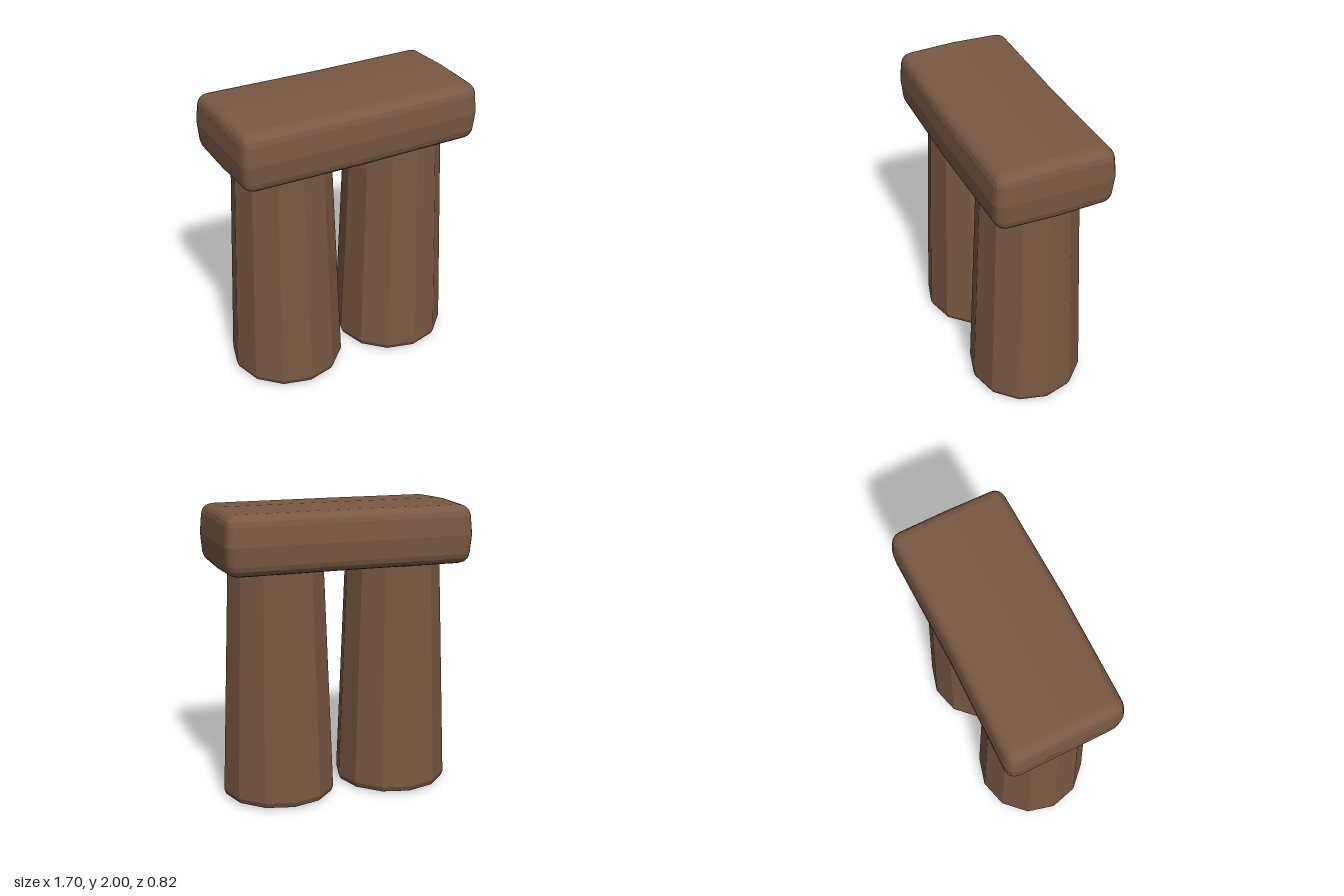
import * as THREE from 'three';

const stone = new THREE.MeshStandardMaterial({ color: 0x795843 });
stone.name = 'brownStone';

// Split every face apart so each facet is shaded flat
function faceted(geometry) {
  const flat = geometry.toNonIndexed();
  flat.computeVertexNormals();
  return flat;
}

// Tapered twelve-sided pillar with a worn foot, closed at both ends
function makePillar(name, x) {
  const profile = [[0, 0], [0.34, 0], [0.375, 0.015], [0.39, 0.05], [0.328, 1.6], [0, 1.6]]
    .map(([r, y]) => new THREE.Vector2(r, y));
  const mesh = new THREE.Mesh(faceted(new THREE.LatheGeometry(profile, 12)), stone);
  mesh.name = name;
  mesh.position.x = x;
  return mesh;
}

// Lintel: a box with two-step rounded edges, bulging faces and a slight bend
function makeLintel() {
  const half = new THREE.Vector3(0.835, 0.195, 0.388);
  const radius = 0.07;
  const geometry = new THREE.BoxGeometry(6, 6, 6, 6, 6, 6);
  const pos = geometry.attributes.position;
  const p = new THREE.Vector3();
  const core = new THREE.Vector3();
  const offset = new THREE.Vector3();
  for (let i = 0; i < pos.count; i++) {
    p.fromBufferAttribute(pos, i).round();
    // Grid lines: middle, bevel start, bevel middle, outer face
    for (const axis of ['x', 'y', 'z']) {
      const side = Math.sign(p[axis]);
      core[axis] = side * (half[axis] - radius);
      offset[axis] = side * Math.max(0, Math.abs(p[axis]) - 1) / 2;
    }
    p.copy(core).addScaledVector(offset.normalize(), radius);
    const u = Math.abs(p.x) / half.x;
    const v = Math.abs(p.y) / half.y;
    const w = Math.abs(p.z) / half.z;
    // Faces swell towards their middles
    const x = p.x * (1 + 0.018 * (1 - v));
    const y = p.y * (1 + 0.07 * (1 - w));
    const z = p.z * (1 + 0.04 * (1 - v));
    // Ends sweep backwards
    pos.setXYZ(i, x, y, z + 0.008 - 0.013 * u);
  }
  const mesh = new THREE.Mesh(faceted(geometry), stone);
  mesh.name = 'lintel';
  mesh.position.y = 1.79;
  return mesh;
}

export function createModel() {
  const model = new THREE.Group();
  model.name = 'stoneArch';
  model.add(makePillar('rightPillar', -0.42), makePillar('leftPillar', 0.42), makeLintel());
  return model;
}
